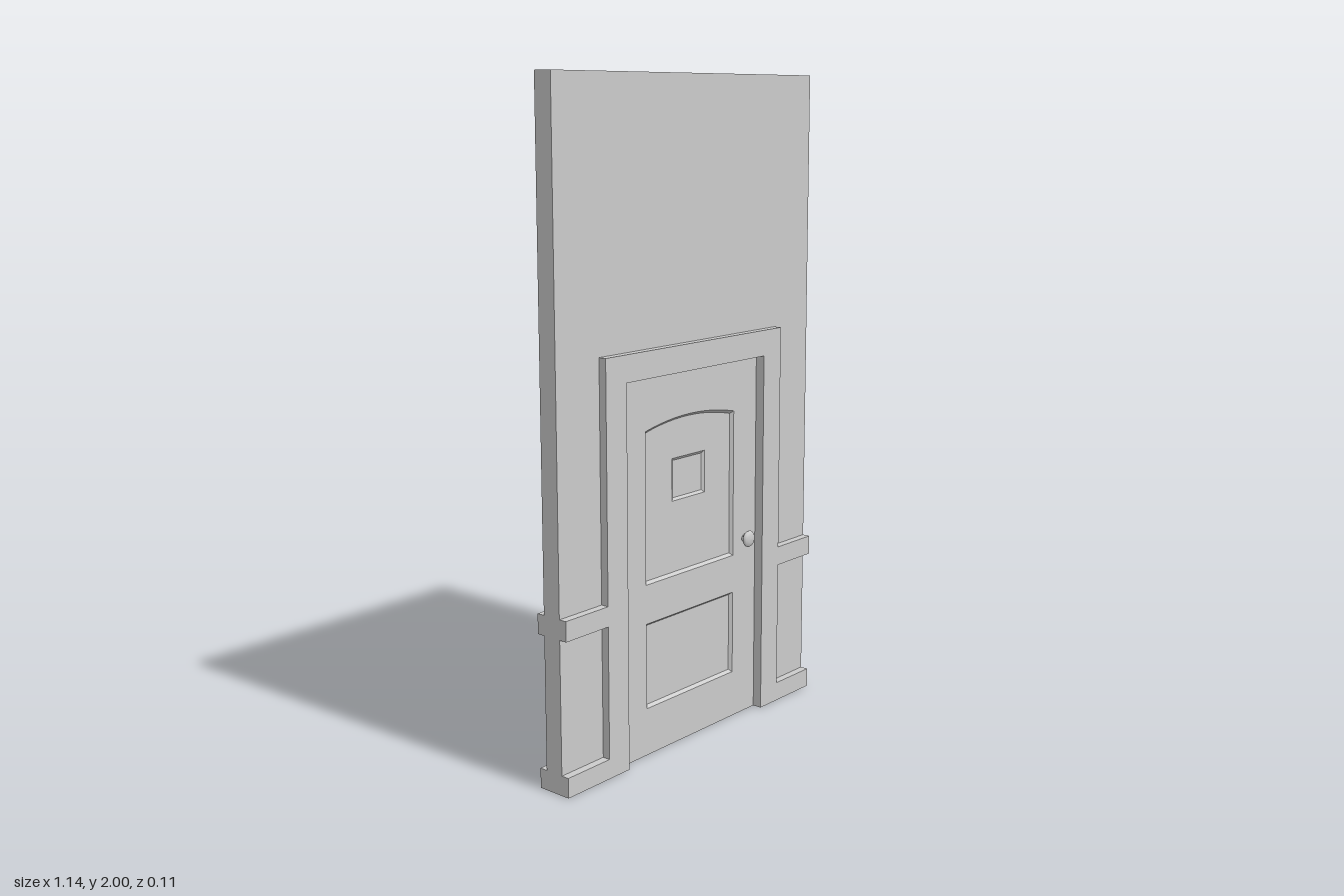
import * as THREE from 'three';

const mat = new THREE.MeshStandardMaterial({ color: 0xcccccc });
const FRONT = 0.025, BACK = -0.012; // door faces
const DEPTH = 0.01;                 // panel recess
const BEVEL = 0.008;                // moulding width

function add(parent, name, geometry, x = 0, y = 0, z = 0) {
  const mesh = new THREE.Mesh(geometry, mat);
  mesh.name = name;
  mesh.position.set(x, y, z);
  parent.add(mesh);
  return mesh;
}

// Counter-clockwise outline, with an optional arched top
function outline(halfW, y0, y1, rise = 0) {
  const pts = [new THREE.Vector2(-halfW, y0), new THREE.Vector2(halfW, y0)];
  const n = rise ? 12 : 1;
  for (let i = 0; i <= n; i++) {
    const t = 1 - (2 * i) / n;
    pts.push(new THREE.Vector2(halfW * t, y1 + rise * (1 - t * t)));
  }
  return pts;
}

// Plate of the given outline with holes, between two z values
function plate(pts, holes, z0, z1) {
  const shape = new THREE.Shape(pts);
  holes.forEach(h => shape.holes.push(new THREE.Path(h)));
  return new THREE.ExtrudeGeometry(shape, { depth: z1 - z0, bevelEnabled: false }).translate(0, 0, z0);
}

// Sloped strip from an outer outline down to an inner one
function bevelStrip(outer, inner, zOuter, zInner) {
  const pos = [];
  const flip = zOuter < zInner;
  outer.forEach((a, i) => {
    const j = (i + 1) % outer.length;
    const A = [a.x, a.y, zOuter], B = [outer[j].x, outer[j].y, zOuter];
    const C = [inner[j].x, inner[j].y, zInner], D = [inner[i].x, inner[i].y, zInner];
    pos.push(...(flip ? [A, C, B, A, D, C] : [A, B, C, A, C, D]).flat());
  });
  const g = new THREE.BufferGeometry();
  g.setAttribute('position', new THREE.Float32BufferAttribute(pos, 3));
  g.computeVertexNormals();
  return g;
}

export function createModel() {
  const model = new THREE.Group();
  model.name = 'doorInWall';

  // Wall with a doorway
  const wall = [[-0.57, 0], [-0.36, 0], [-0.36, 1.19], [0.36, 1.19], [0.36, 0], [0.57, 0], [0.57, 2], [-0.57, 2]]
    .map(p => new THREE.Vector2(...p));
  add(model, 'wall', plate(wall, [], -0.03, 0.03));

  // Door frame, one arch-shaped piece through the wall
  const frame = [[-0.4, 0], [-0.315, 0], [-0.315, 1.15], [0.315, 1.15], [0.315, 0], [0.4, 0], [0.4, 1.23], [-0.4, 1.23]]
    .map(p => new THREE.Vector2(...p));
  add(model, 'doorFrame', plate(frame, [], -0.055, 0.055));

  // Skirting and chair rail on both sides of the doorway
  for (const s of [-1, 1]) {
    add(model, 'skirtingBoard', new THREE.BoxGeometry(0.17, 0.06, 0.11), s * 0.485, 0.03, 0);
    add(model, 'chairRail', new THREE.BoxGeometry(0.17, 0.06, 0.11), s * 0.485, 0.49, 0);
  }

  const door = new THREE.Group();
  door.name = 'door';
  model.add(door);

  // Door slab with openings for the two panels
  const upper = outline(0.204, 0.53, 0.99, 0.024);
  const lower = outline(0.204, 0.147, 0.41);
  const pane = outline(0.075, 0.757, 0.887);
  add(door, 'doorSlab', plate(outline(0.315, 0, 1.15), [upper, lower], BACK, FRONT));

  // Recessed panels with sloped mouldings on both faces
  const upperIn = outline(0.204 - BEVEL, 0.53 + BEVEL, 0.99 - BEVEL, 0.024);
  const lowerIn = outline(0.204 - BEVEL, 0.147 + BEVEL, 0.41 - BEVEL);
  const paneIn = outline(0.075 - BEVEL, 0.757 + BEVEL, 0.887 - BEVEL);
  const zf = FRONT - DEPTH, zb = BACK + DEPTH;
  add(door, 'upperPanel', plate(upperIn, [pane], zb, zf));
  add(door, 'lowerPanel', plate(lowerIn, [], zb, zf));
  add(door, 'windowPane', plate(paneIn, [], zb + 0.006, zf - 0.006));
  for (const [o, i, name] of [[upper, upperIn, 'upperMoulding'], [lower, lowerIn, 'lowerMoulding']]) {
    add(door, name, bevelStrip(o, i, FRONT, zf));
    add(door, name, bevelStrip(o, i, BACK, zb));
  }
  add(door, 'windowMoulding', bevelStrip(pane, paneIn, zf, zf - 0.006));
  add(door, 'windowMoulding', bevelStrip(pane, paneIn, zb, zb + 0.006));

  // Bowed grating over the window at the back
  const grating = new THREE.Group();
  grating.name = 'windowGrating';
  grating.position.set(0, 0.822, zb);
  door.add(grating);
  const bow = new THREE.CatmullRomCurve3([
    [-0.11, 0], [-0.085, -0.018], [-0.04, -0.032], [0.04, -0.032], [0.085, -0.018], [0.11, 0],
  ].map(([x, z]) => new THREE.Vector3(x, 0, z)));
  const bar = new THREE.TubeGeometry(bow, 20, 0.005, 8);
  for (const s of [-1, 1]) {
    add(grating, 'horizontalBar', bar, 0, s * 0.035, 0);
    add(grating, 'verticalBar', bar, s * 0.04, 0, 0).rotation.z = Math.PI / 2;
  }

  // Round knob on each face
  const knobProfile = [[0, 0], [0.014, 0], [0.011, 0.006], [0.018, 0.009], [0.025, 0.015],
    [0.026, 0.02], [0.022, 0.025], [0.012, 0.028], [0, 0.029]].map(p => new THREE.Vector2(...p));
  const knob = new THREE.LatheGeometry(knobProfile, 24);
  add(door, 'frontKnob', knob, 0.26, 0.575, FRONT).rotation.x = Math.PI / 2;
  const backKnob = add(door, 'backKnob', knob, 0.26, 0.575, BACK);
  backKnob.rotation.x = -Math.PI / 2;
  backKnob.scale.y = 1.4;

  return model;
}
